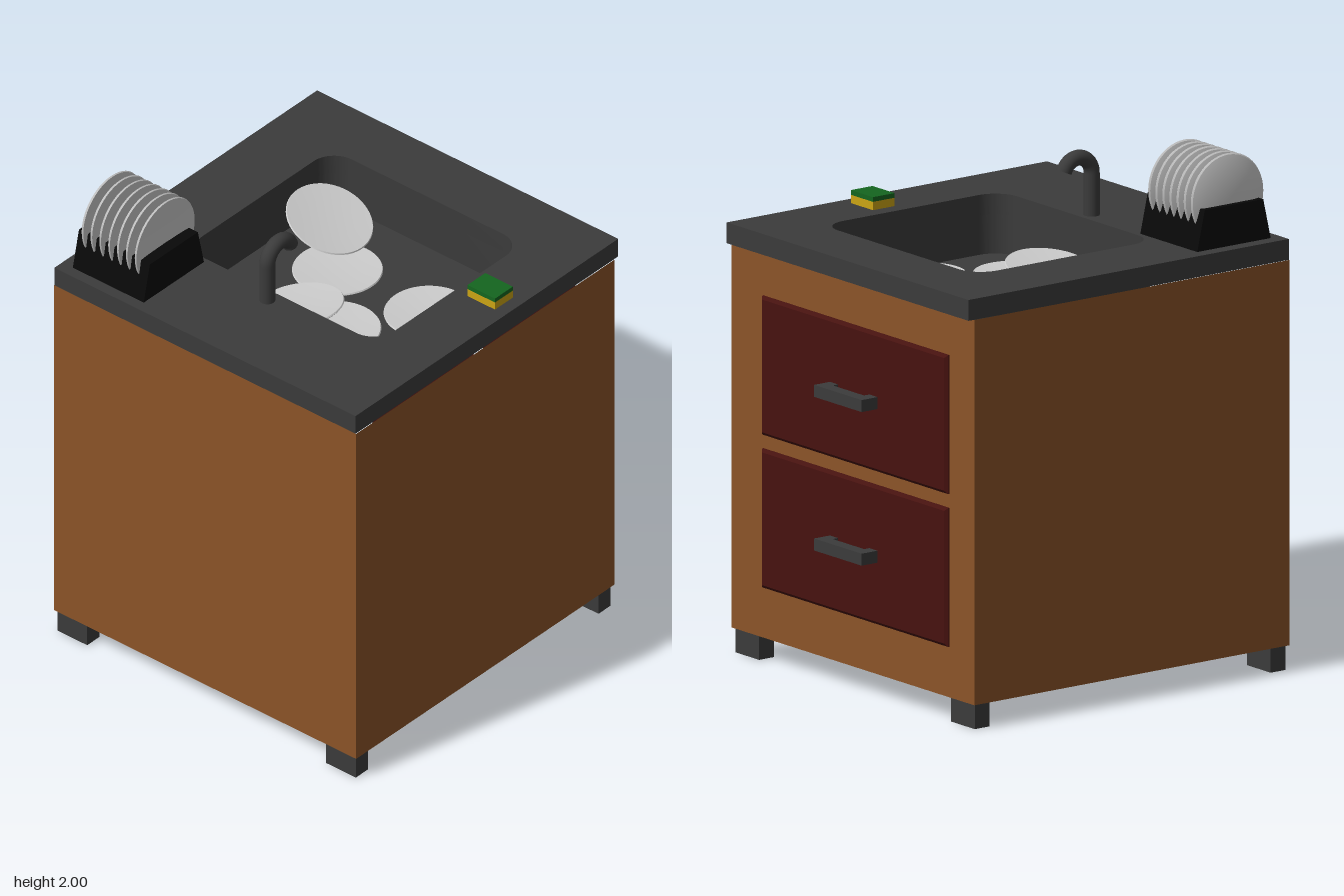
import * as THREE from 'three';
import { toCreasedNormals } from 'three/addons/utils/BufferGeometryUtils.js';

const mat = (color, side = THREE.FrontSide) => new THREE.MeshStandardMaterial({ color, side });
const wood = mat(0x8b5428), red = mat(0x47120f), dark = mat(0x3b3b3b), black = mat(0x090909);
const china = mat(0xcccccc), green = mat(0x14661f), yellow = mat(0xcca414);

export function createModel() {
  const model = new THREE.Group();

  const add = (name, geo, material, x = 0, y = 0, z = 0) => {
    const mesh = new THREE.Mesh(geo, material);
    mesh.name = name;
    mesh.position.set(x, y, z);
    model.add(mesh);
    return mesh;
  };
  // box given by its minimum and maximum on each axis
  const block = (name, material, x0, x1, y0, y1, z0, z1) =>
    add(name, new THREE.BoxGeometry(x1 - x0, y1 - y0, z1 - z0), material,
      (x0 + x1) / 2, (y0 + y1) / 2, (z0 + z1) / 2);
  const polygon = (pts) => new THREE.Shape(pts.map(([x, y]) => new THREE.Vector2(x, y)));
  const rect = (x0, x1, z0, z1) => polygon([[x0, z0], [x1, z0], [x1, z1], [x0, z1]]);
  const roundRect = (x0, x1, z0, z1, r) => {
    const s = new THREE.Shape();
    s.absarc(x1 - r, z1 - r, r, 0, Math.PI / 2);
    s.absarc(x0 + r, z1 - r, r, Math.PI / 2, Math.PI);
    s.absarc(x0 + r, z0 + r, r, Math.PI, Math.PI * 1.5);
    s.absarc(x1 - r, z0 + r, r, Math.PI * 1.5, Math.PI * 2);
    s.closePath();
    return s;
  };
  // plan outline (x, z) extruded downwards from y = 0
  const slab = (shape, depth) => {
    const geo = new THREE.ExtrudeGeometry(shape, { depth, bevelEnabled: false, curveSegments: 10 });
    return toCreasedNormals(geo.rotateX(Math.PI / 2), 0.5);
  };

  // cabinet, left open at the top for the basin
  const cabinet = block('cabinet', wood, -0.79, 0.69, 0.095, 1.575, -0.74, 0.74);
  const index = [...cabinet.geometry.index.array];
  index.splice(12, 6);
  cabinet.geometry.setIndex(index);
  cabinet.geometry.clearGroups();

  for (const x of [-0.78, 0.61])
    for (const z of [-0.73, 0.585]) block('foot', dark, x, x + 0.07, 0, 0.095, z, z + 0.145);

  // countertop and sunken basin
  const opening = () => roundRect(-0.38, 0.46, -0.45, 0.49, 0.1);
  const top = rect(-0.79, 0.715, -0.737, 0.737);
  top.holes.push(opening());
  add('countertop', slab(top, 0.08), dark, 0, 1.655);
  const wall = roundRect(-0.4, 0.48, -0.47, 0.51, 0.12);
  wall.holes.push(opening());
  add('basinWall', slab(wall, 0.165), dark, 0, 1.575);
  add('basinFloor', slab(roundRect(-0.4, 0.48, -0.47, 0.51, 0.12), 0.02), dark, 0, 1.425);

  // drawers with bevelled fronts and bar handles
  const front = new THREE.ExtrudeGeometry(rect(-0.555, 0.555, -0.255, 0.255), {
    depth: 0.005, bevelThickness: 0.01, bevelSize: 0.012, bevelSegments: 1,
  }).rotateY(Math.PI / 2);
  const handle = slab(polygon([
    [0.70, -0.17], [0.78, -0.17], [0.78, 0.12], [0.70, 0.12],
    [0.70, 0.07], [0.73, 0.07], [0.73, -0.12], [0.70, -0.12],
  ]), 0.046);
  for (const [drawerY, handleY] of [[0.556, 0.576], [1.143, 1.166]]) {
    add('drawerFront', front, red, 0.69, drawerY, -0.021);
    add('drawerHandle', handle, dark, 0, handleY, 0);
  }

  // faucet: upright stem bending into a hook with an open end
  const path = new THREE.CurvePath();
  const at = (a) => new THREE.Vector3(-0.365 + 0.067 * Math.cos(a), 1.817 + 0.067 * Math.sin(a), 0);
  const arc = [];
  for (let i = 0; i <= 16; i++) arc.push(at(Math.PI - (i / 16) * Math.PI * 0.9));
  path.add(new THREE.LineCurve3(new THREE.Vector3(-0.432, 1.65, 0), arc[0]));
  path.add(new THREE.CatmullRomCurve3(arc));
  add('faucet', new THREE.TubeGeometry(path, 48, 0.03, 20), mat(0x3b3b3b, THREE.DoubleSide));

  // plates
  const profile = [[0, 0], [0.115, 0], [0.165, 0.015], [0.17, 0.02], [0.167, 0.025], [0.1, 0.02], [0, 0.018]];
  const plateGeo = toCreasedNormals(
    new THREE.LatheGeometry(profile.map(([r, y]) => new THREE.Vector2(r, y)), 48), 0.35);
  const sinkPlates = [ // x, y, z, tilt about x
    [-0.18, 1.427, 0.12, 0],
    [-0.21, 1.475, -0.03, -0.19],
    [0.11, 1.427, -0.12, 0],
    [0.26, 1.5, -0.295, 0.38],
    [0.12, 1.427, 0.32, 0],
  ];
  for (const [x, y, z, tilt] of sinkPlates) add('sinkPlate', plateGeo, china, x, y, z).rotation.x = tilt;
  for (let i = 0; i < 7; i++)
    add('rackPlate', plateGeo, china, -0.572, 1.83, -0.404 - i * 0.0433).rotation.x = Math.PI / 2;

  // dish rack with sloping sides
  const rack = polygon([[-0.745, 1.655], [-0.4, 1.655], [-0.435, 1.81], [-0.71, 1.81]]);
  add('dishRack', new THREE.ExtrudeGeometry(rack, { depth: 0.347, bevelEnabled: false }), black, 0, 0, -0.685);

  // two-layer sponge
  block('spongeBase', yellow, 0.07, 0.172, 1.655, 1.687, 0.55, 0.685);
  block('spongeScourer', green, 0.07, 0.172, 1.687, 1.705, 0.55, 0.685);

  return model;
}
